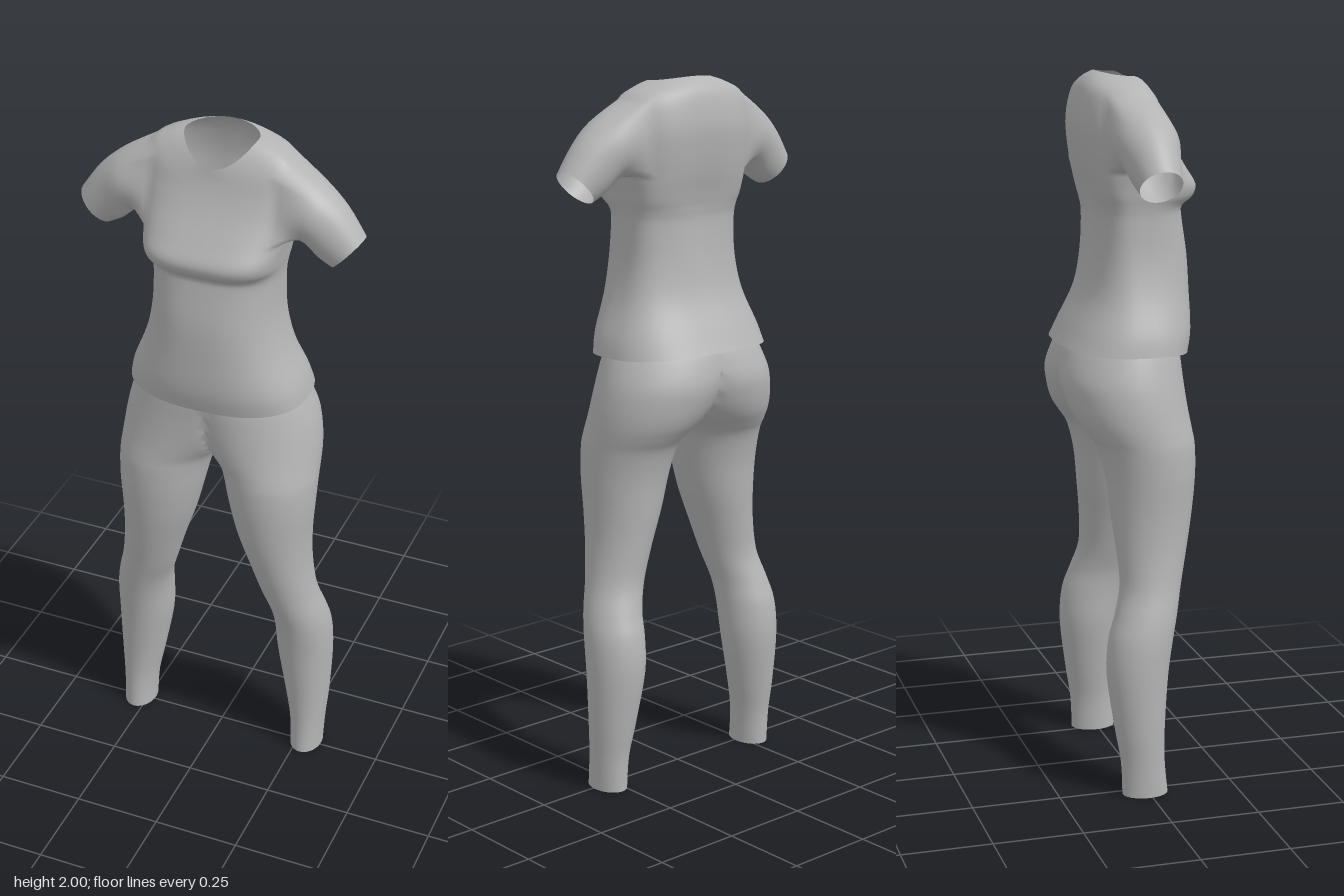
import * as THREE from 'three';
import { mergeVertices } from 'three/addons/utils/BufferGeometryUtils.js';

const fabric = new THREE.MeshStandardMaterial({ color: 0xb4b4b4, side: THREE.DoubleSide });
fabric.name = 'grey fabric';

// Signed power, for rounded-square cross-sections
const spow = (v, e) => Math.sign(v) * Math.pow(Math.abs(v), e);

// Catmull-Rom interpolation of a list of rows, sub steps per interval
function densify(rows, sub) {
  const out = [];
  const last = rows.length - 1;
  for (let s = 0; s <= last * sub; s++) {
    const i = Math.min(Math.floor(s / sub), last - 1);
    const t = s / sub - i;
    const p = [i - 1, i, i + 1, i + 2].map((k) => rows[Math.max(0, Math.min(last, k))]);
    out.push(p[0].map((_, c) => {
      const [a, b, d, e] = p.map((r) => r[c]);
      return b + 0.5 * t * (d - a + t * (2 * a - 5 * b + 4 * d - e + t * (3 * (b - d) + e - a)));
    }));
  }
  return out;
}

// Adds quads between consecutive closed rings; keep() may leave quads out
function addLoft(tris, rings, keep = () => true, flip = false) {
  for (let r = 0; r < rings.length - 1; r++) {
    const n = rings[r].length;
    for (let i = 0; i < n; i++) {
      const j = (i + 1) % n;
      const q = [rings[r][i], rings[r + 1][i], rings[r + 1][j], rings[r][j]];
      if (!keep(r, i, q)) continue;
      if (flip) q.reverse();
      tris.push(q[0], q[1], q[2], q[0], q[2], q[3]);
    }
  }
}

function smoothMesh(name, tris) {
  let g = new THREE.BufferGeometry();
  g.setAttribute('position', new THREE.Float32BufferAttribute(tris.flat(), 3));
  g = mergeVertices(g, 1e-5);
  g.computeVertexNormals();
  const mesh = new THREE.Mesh(g, fabric);
  mesh.name = name;
  return mesh;
}

function createShirt() {
  const N = 48, SUB = 4, K = 5;
  // y at front, side and back; half width; z front; z back; roundness
  const rows = [
    [1.232, 1.245, 1.255, 0.256, 0.167, -0.19, 0.8],
    [1.30, 1.30, 1.31, 0.243, 0.18, -0.163, 0.82],
    [1.40, 1.40, 1.40, 0.203, 0.18, -0.12, 0.82],
    [1.50, 1.50, 1.50, 0.181, 0.175, -0.102, 0.8],
    [1.60, 1.60, 1.60, 0.177, 0.158, -0.096, 0.75],
    [1.635, 1.64, 1.64, 0.18, 0.156, -0.1, 0.7],
    [1.662, 1.668, 1.668, 0.185, 0.184, -0.105, 0.62],
    [1.695, 1.70, 1.70, 0.19, 0.19, -0.112, 0.6],
    [1.74, 1.74, 1.74, 0.198, 0.163, -0.122, 0.65],
    [1.80, 1.80, 1.80, 0.205, 0.125, -0.132, 0.68],
    [1.85, 1.87, 1.87, 0.206, 0.1, -0.137, 0.72],
    [1.885, 1.945, 1.945, 0.195, 0.087, -0.124, 0.8],
    [1.905, 1.976, 1.982, 0.145, 0.082, -0.102, 0.9],
    [1.92, 1.99, 2.0, 0.102, 0.079, -0.075, 1],
  ];
  const rings = densify(rows, SUB).map(([yF, yS, yB, w, zf, zb, e]) => {
    const ring = [];
    for (let i = 0; i < N; i++) {
      const a = (2 * Math.PI * i) / N, s = Math.sin(a);
      const x = w * spow(Math.cos(a), e);
      const y = yS + ((s > 0 ? yF : yB) - yS) * s * s;
      let z = (s > 0 ? zf : -zb) * spow(s, e);
      // Shallow spine groove, fading towards hem and neck
      if (s < 0) z += 0.012 * Math.exp(-((x / 0.05) ** 2)) * Math.max(0, 1 - Math.abs(yB - 1.65) / 0.32);
      ring.push([x, y, z]);
    }
    return ring;
  });

  // Torso, left open where the sleeves join
  const r0 = 8 * SUB, r1 = 11 * SUB;
  const tris = [];
  const inArm = (i) => [0, N / 2].some((c) => {
    const d = ((i - c + N + N / 2) % N) - N / 2;
    return d >= -K && d < K;
  });
  addLoft(tris, rings, (r, i) => !(r >= r0 && r < r1 && inArm(i)));

  // Sleeves grow from the border of each opening to the cuff
  const sleeve = [ // centre x, y, z; half vector x, y; half depth
    [0.256, 1.816, 0, 0.024, 0.082, 0.086],
    [0.314, 1.767, 0.003, 0.033, 0.073, 0.07],
    [0.359, 1.72, 0.006, 0.042, 0.045, 0.058],
  ];
  for (const side of [1, -1]) {
    const c = side > 0 ? 0 : N / 2;
    const border = [];
    for (let u = -K; u < K; u++) border.push([r0, u]);
    for (let r = r0; r < r1; r++) border.push([r, K]);
    for (let u = K; u > -K; u--) border.push([r1, u]);
    for (let r = r1; r > r0; r--) border.push([r, -K]);
    const columns = border.map(([r, u]) => {
      const t = Math.atan2((2 * (r - r0)) / (r1 - r0) - 1, u / K);
      const ct = Math.cos(t), st = Math.sin(t);
      const path = [rings[r][(u + c + N) % N]];
      for (const [x, y, z, hx, hy, rz] of sleeve)
        path.push([side * (x + hx * st), y + hy * st, z + side * ct * rz]);
      return densify(path, 4);
    });
    addLoft(tris, columns[0].map((_, k) => columns.map((col) => col[k])));
  }
  return smoothMesh('shirt', tris);
}

function createLeggings() {
  const N = 40;
  // y, inner x, outer x, z front, z back; above the crotch the halves meet at x = 0
  const rows = [
    [0.004, 0.228, 0.322, 0.056, -0.074],
    [0.10, 0.222, 0.326, 0.047, -0.078],
    [0.20, 0.203, 0.333, 0.048, -0.094],
    [0.35, 0.176, 0.338, 0.06, -0.113],
    [0.45, 0.17, 0.335, 0.075, -0.107],
    [0.52, 0.162, 0.322, 0.09, -0.085],
    [0.60, 0.136, 0.30, 0.108, -0.064],
    [0.70, 0.105, 0.286, 0.131, -0.069],
    [0.80, 0.071, 0.284, 0.15, -0.08],
    [0.90, 0.045, 0.29, 0.161, -0.091],
    [0.98, 0.026, 0.293, 0.162, -0.112],
    [1.02, 0.006, 0.292, 0.158, -0.138],
    [1.06, -0.035, 0.29, 0.154, -0.165],
    [1.11, -0.08, 0.285, 0.15, -0.184],
    [1.17, -0.12, 0.273, 0.147, -0.194],
    [1.235, -0.16, 0.25, 0.145, -0.18],
    [1.275, -0.18, 0.23, 0.135, -0.163],
  ];
  const tris = [];
  for (const side of [1, -1]) {
    const rings = densify(rows, 4).map(([y, xi, xo, zf, zb]) => {
      const ring = [];
      for (let i = 0; i < N; i++) {
        const a = (2 * Math.PI * i) / N;
        const x = (xi + xo) / 2 + ((xo - xi) / 2) * Math.cos(a);
        ring.push([side * Math.max(0, x), y, (zf + zb) / 2 + ((zf - zb) / 2) * Math.sin(a)]);
      }
      return ring;
    });
    // Skip the hidden wall on the centre plane
    addLoft(tris, rings, (r, i, q) => q.some((p) => Math.abs(p[0]) > 1e-6), side < 0);
  }
  return smoothMesh('leggings', tris);
}

export function createModel() {
  const model = new THREE.Group();
  model.name = 'outfit';
  model.add(createShirt(), createLeggings());
  return model;
}
